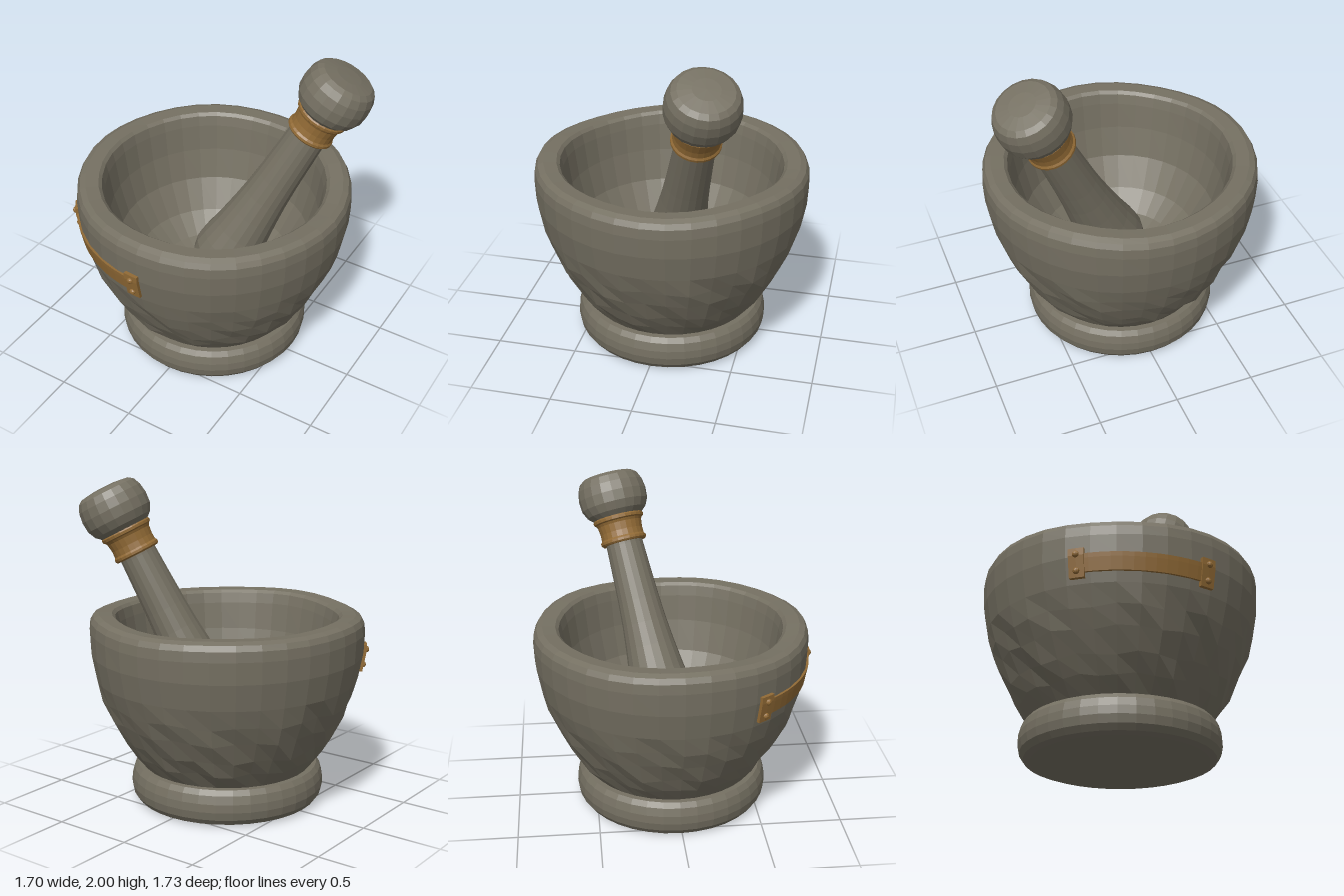
import * as THREE from 'three';

const stone = new THREE.MeshStandardMaterial({ color: 0x77715f, flatShading: true });
stone.name = 'stone';
stone.color.set(0x757062);
const copper = new THREE.MeshStandardMaterial({ color: 0x916a35, flatShading: true });
copper.name = 'copper';

const lathe = (name, pts, material, sides) => {
  const mesh = new THREE.Mesh(
    new THREE.LatheGeometry(pts.map(([r, y]) => new THREE.Vector2(r, y)), sides), material);
  mesh.name = name;
  return mesh;
};

// Outer wall of the bowl as [radius, height]
const outer = [
  [0.5, 0.2], [0.53, 0.23], [0.605, 0.33], [0.665, 0.43], [0.73, 0.56], [0.775, 0.67],
  [0.812, 0.79], [0.842, 0.95], [0.848, 1.08], [0.842, 1.14], [0.825, 1.172],
];
const inner = [
  [0.79, 1.187], [0.71, 1.183], [0.69, 1.165], [0.675, 1.1], [0.65, 0.93], [0.6, 0.73],
  [0.49, 0.54], [0.36, 0.43], [0.2, 0.37], [0, 0.355],
];

function wallRadius(y) {
  const i = outer.findIndex((p) => p[1] > y);
  const [r0, y0] = outer[i - 1], [r1, y1] = outer[i];
  return r0 + ((r1 - r0) * (y - y0)) / (y1 - y0);
}

// Bowl with a wavy rim and hand-chipped lower wall
function makeBowl() {
  const bowl = lathe('bowl', [...outer, ...inner], stone, 36);
  const p = bowl.geometry.attributes.position;
  for (let i = 0; i < p.count; i++) {
    const x = p.getX(i), y = p.getY(i), z = p.getZ(i);
    const a = Math.atan2(x, z), r = Math.hypot(x, z);
    if (y > 1.05) {
      const wave = 0.006 * Math.sin(3 * a + 0.6) + 0.005 * Math.sin(5 * a + 2);
      p.setY(i, y + wave);
    }
    if (y > 0.3 && y < 0.75 && r > wallRadius(y) - 0.03) {
      const chip = 0.006 * Math.sin(13 * a + y * 31) + 0.006 * Math.sin(8 * a - y * 47);
      p.setXYZ(i, x * (1 + chip / r), y + 0.012 * Math.sin(11 * a + y * 60), z * (1 + chip / r));
    }
  }
  bowl.geometry.computeVertexNormals();
  return bowl;
}

// A plate bent around the bowl, centred on an angle
function bentPlate(name, angle, width, height, depth, segments) {
  const geo = new THREE.BoxGeometry(width, height, depth, segments, 4, 1);
  const p = geo.attributes.position;
  for (let i = 0; i < p.count; i++) {
    const y = p.getY(i) + 0.905;
    const a = angle + p.getX(i) / 0.84;
    const r = wallRadius(y) + p.getZ(i);
    p.setXYZ(i, r * Math.sin(a), y, r * Math.cos(a));
  }
  geo.computeVertexNormals();
  const mesh = new THREE.Mesh(geo, copper);
  mesh.name = name;
  return mesh;
}

// Copper repair strap with riveted ends
function makeStrap() {
  const strap = new THREE.Group();
  strap.name = 'repairStrap';
  const ends = [-0.046, -0.965];
  strap.add(bentPlate('strapBand', (ends[0] + ends[1]) / 2, 0.76, 0.105, 0.024, 12));
  for (const a of ends) {
    strap.add(bentPlate('strapEnd', a, 0.09, 0.17, 0.04, 2));
    for (const y of [0.857, 0.953]) {
      const rivet = new THREE.Mesh(new THREE.SphereGeometry(0.02, 10, 6), copper);
      const r = wallRadius(y) + 0.022;
      rivet.position.set(r * Math.sin(a), y, r * Math.cos(a));
      rivet.rotation.y = a;
      rivet.scale.z = 0.8;
      rivet.name = 'rivet';
      strap.add(rivet);
    }
  }
  return strap;
}

// Pestle along its own y axis, with the grinding bulb around the origin
function makePestle() {
  const pestle = new THREE.Group();
  pestle.name = 'pestle';
  pestle.add(
    lathe('pestleShaft', [
      [0, -0.19], [0.08, -0.175], [0.15, -0.13], [0.195, -0.06], [0.21, 0.02], [0.2, 0.11],
      [0.178, 0.24], [0.158, 0.4], [0.143, 0.55], [0.133, 0.7], [0.125, 0.88], [0.118, 1.06],
      [0.118, 1.24],
    ], stone, 20),
    lathe('pestleHead', [
      [0.11, 1.22], [0.145, 1.235], [0.19, 1.275], [0.214, 1.325], [0.219, 1.39],
      [0.21, 1.45], [0.19, 1.495], [0.16, 1.517], [0.08, 1.528], [0, 1.53],
    ], stone, 20),
    lathe('collar', [
      [0.115, 1.075], [0.138, 1.075], [0.147, 1.085], [0.147, 1.1], [0.138, 1.112],
      [0.136, 1.15], [0.142, 1.2], [0.15, 1.215], [0.161, 1.222], [0.163, 1.238],
      [0.155, 1.25], [0.115, 1.25],
    ], copper, 24),
  );
  const axis = new THREE.Vector3(0.46, 1, -0.23).normalize();
  pestle.quaternion.setFromUnitVectors(new THREE.Vector3(0, 1, 0), axis);
  pestle.position.set(0.06, 0.575, -0.045);
  return pestle;
}

export function createModel() {
  const model = new THREE.Group();
  model.name = 'mortarAndPestle';
  const mortar = new THREE.Group();
  mortar.name = 'mortar';
  const foot = lathe('foot', [
    [0, 0], [0.53, 0], [0.57, 0.015], [0.595, 0.05], [0.605, 0.1], [0.602, 0.15],
    [0.588, 0.2], [0.565, 0.23], [0.48, 0.232],
  ], stone, 36);
  mortar.add(foot, makeBowl(), makeStrap());
  mortar.position.set(-0.005, 0, -0.015);
  model.add(mortar, makePestle());
  return model;
}
